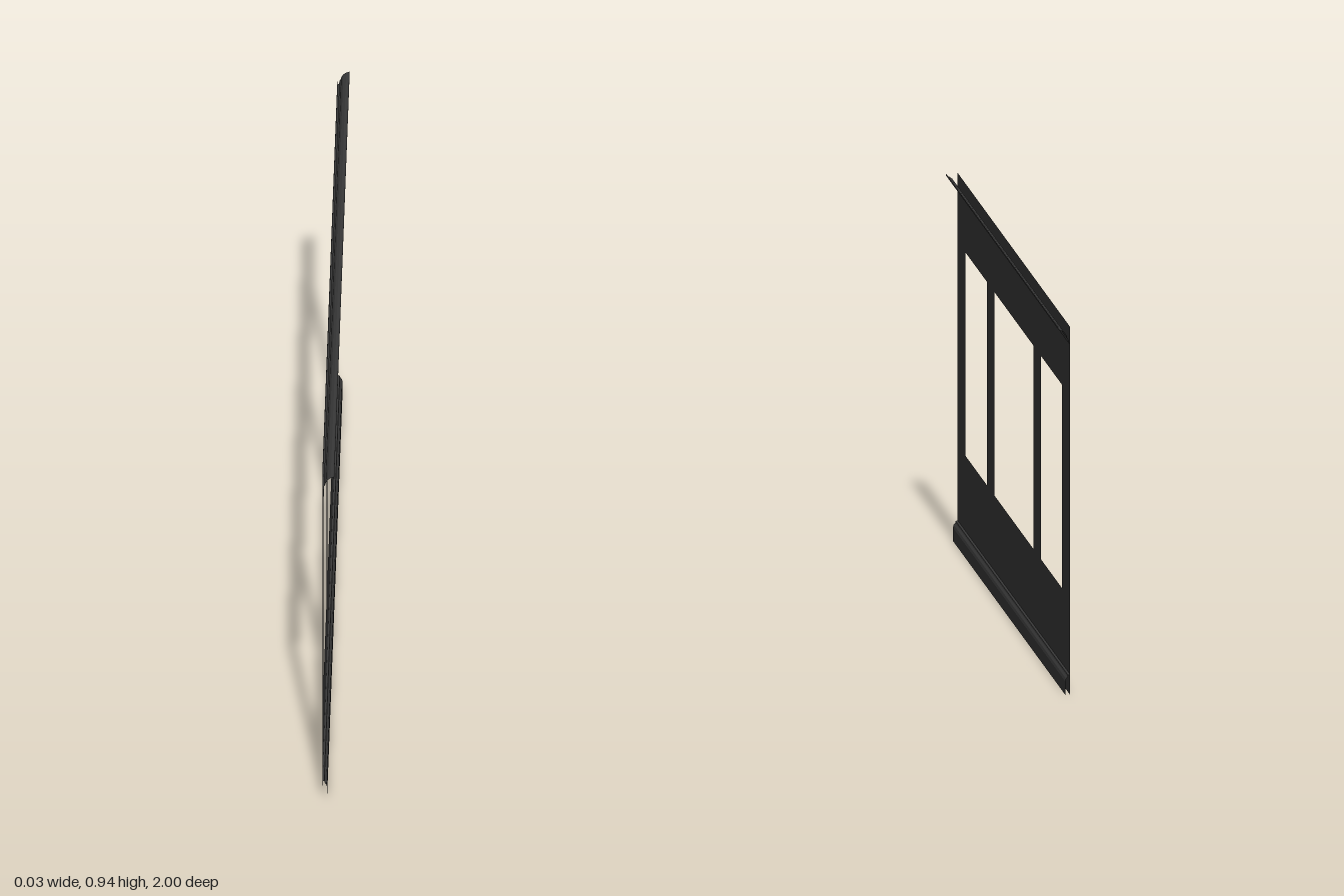
import * as THREE from 'three';

const BACK = -0.015; // x of the wall sheet
const HEIGHT = 0.935;

const material = new THREE.MeshStandardMaterial({ color: 0x3a3a3a, side: THREE.DoubleSide });

// Open moulding sheet: an [x, y] profile, listed bottom to top, swept along z
function moulding(name, profile) {
  const pos = [];
  for (let i = 0; i < profile.length - 1; i++) {
    const [x0, y0] = profile[i];
    const [x1, y1] = profile[i + 1];
    pos.push(x0, y0, 1, x0, y0, -1, x1, y1, -1);
    pos.push(x0, y0, 1, x1, y1, -1, x1, y1, 1);
  }
  const geometry = new THREE.BufferGeometry();
  geometry.setAttribute('position', new THREE.Float32BufferAttribute(pos, 3));
  geometry.computeVertexNormals();
  const mesh = new THREE.Mesh(geometry, material);
  mesh.name = name;
  return mesh;
}

function rectangle(target, x0, x1, y0, y1) {
  target.moveTo(x0, y0).lineTo(x1, y0).lineTo(x1, y1).lineTo(x0, y1).closePath();
  return target;
}

export function createModel() {
  const group = new THREE.Group();
  group.name = 'windowWall';

  // Thin wall sheet with three window openings
  const shape = rectangle(new THREE.Shape(), -1, 1, 0, HEIGHT);
  for (const [a, b] of [[-0.857, -0.477], [-0.345, 0.345], [0.477, 0.857]]) {
    shape.holes.push(rectangle(new THREE.Path(), a, b, 0.243, 0.76));
  }
  const wall = new THREE.Mesh(new THREE.ShapeGeometry(shape), material);
  wall.rotation.y = Math.PI / 2;
  wall.position.x = BACK;
  wall.name = 'wall';
  group.add(wall);

  // Skirting board with a rounded top edge
  group.add(moulding('baseboard', [
    [-0.003, 0], [-0.003, 0.034], [-0.005, 0.041], [-0.009, 0.046], [-0.01, 0.05], [BACK, 0.052],
  ]));

  // Coved crown moulding, open at the top
  group.add(moulding('crownMoulding', [
    [BACK, 0.892], [-0.011, 0.894], [-0.011, 0.902], [-0.008, 0.905], [-0.006, 0.913],
    [-0.001, 0.921], [0.006, 0.926], [0.012, 0.928], [0.015, 0.93], [0.015, HEIGHT],
  ]));

  return group;
}
